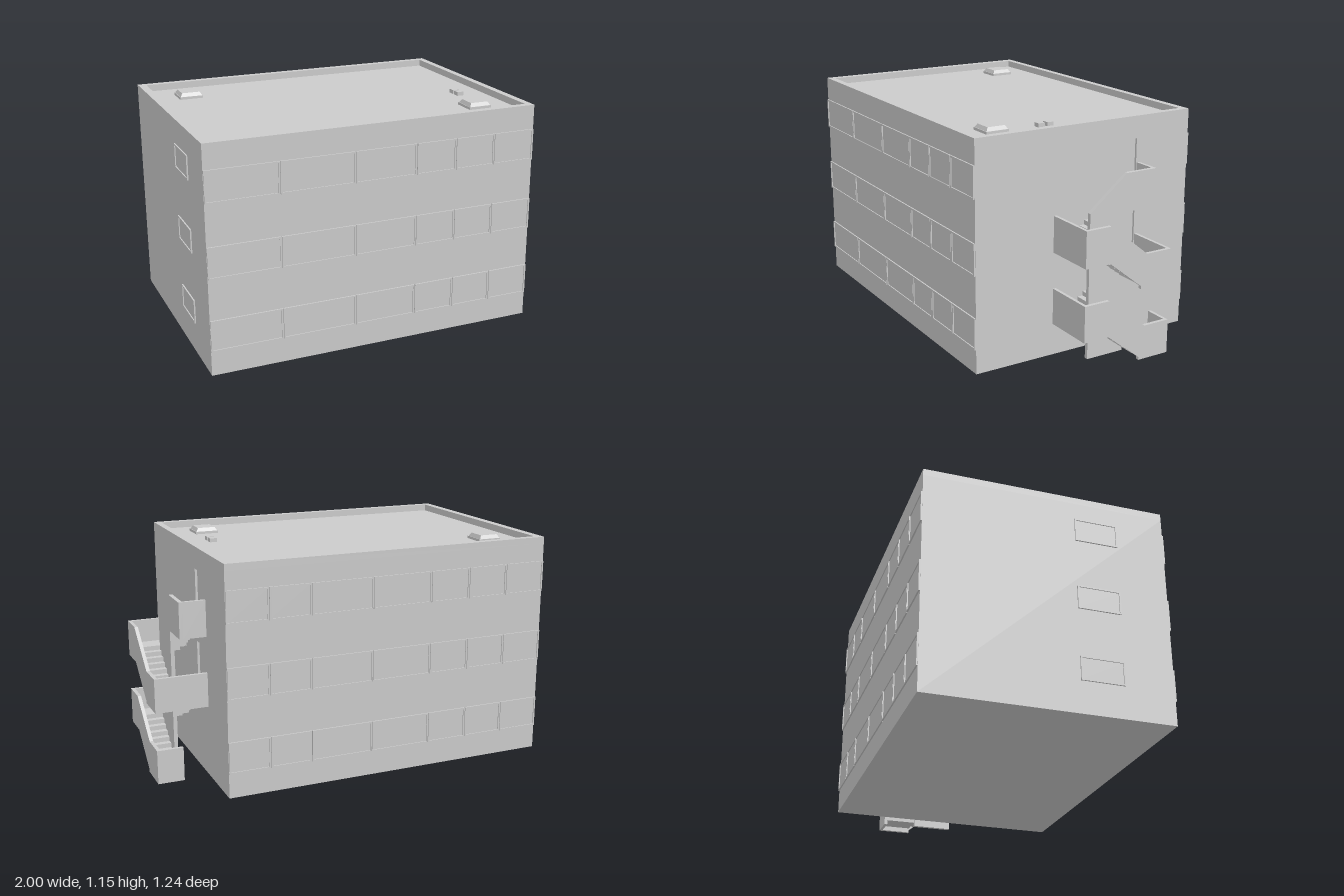
import * as THREE from 'three';

const material = new THREE.MeshStandardMaterial({ color: 0xcccccc, flatShading: true });

// Box given by its min and max corners
function box(parent, name, x0, x1, y0, y1, z0, z1) {
  const m = new THREE.Mesh(new THREE.BoxGeometry(x1 - x0, y1 - y0, z1 - z0), material);
  m.position.set((x0 + x1) / 2, (y0 + y1) / 2, (z0 + z1) / 2);
  m.name = name;
  parent.add(m);
  return m;
}

const toPoints = (pts) => pts.map(([a, b]) => new THREE.Vector2(a, b));
const rect = (a0, a1, b0, b1) => [[a0, b0], [a1, b0], [a1, b1], [a0, b1]];

function extrude(points, holes, depth) {
  const shape = new THREE.Shape(toPoints(points));
  holes.forEach((h) => shape.holes.push(new THREE.Path(toPoints(h))));
  return new THREE.ExtrudeGeometry(shape, { depth, bevelEnabled: false });
}

// Upright slab from a (z, y) outline, spanning x0..x1
function sideSlab(parent, name, x0, x1, points, holes = []) {
  const g = extrude(points, holes, x1 - x0);
  g.rotateY(-Math.PI / 2);
  g.translate(x1, 0, 0);
  const m = new THREE.Mesh(g, material);
  m.name = name;
  parent.add(m);
}

// Thin framed window centred on its own origin, facing +z
function makeWindow(name, w, h) {
  const g = new THREE.Group();
  g.name = name;
  const f = 0.008;
  const outer = rect(-w / 2, w / 2, -h / 2, h / 2);
  const inner = rect(-w / 2 + f, w / 2 - f, -h / 2 + f, h / 2 - f);
  const frame = new THREE.Mesh(extrude(outer, [inner], 0.007), material);
  frame.name = 'windowFrame';
  g.add(frame);
  box(g, 'windowPane', -w / 2 + f, w / 2 - f, -h / 2 + f, h / 2 - f, -0.002, 0.002);
  return g;
}

const STOREY = 0.37;

function buildBlock() {
  const g = new THREE.Group();
  g.name = 'building';
  const L = -0.995, R = 0.73, Z = 0.615, ROOF = 1.115, TOP = 1.15;
  box(g, 'mainBlock', L, R - 0.03, 0, ROOF, -Z, Z);

  // Side wall with recessed doorways
  const doors = [1, 2].map((i) => rect(-0.295, -0.15, i * STOREY + 0.045, i * STOREY + 0.297));
  sideSlab(g, 'doorWall', R - 0.03, R, rect(-Z, Z, 0, ROOF), doors);
  doors.forEach((d) => box(g, 'door', R - 0.035, R - 0.012, d[0][1], d[2][1], -0.295, -0.15));

  // Parapet round the flat roof
  const p = extrude(rect(L, R, -Z, Z), [rect(L + 0.04, R - 0.035, -Z + 0.035, Z - 0.035)], TOP - ROOF);
  p.rotateX(-Math.PI / 2);
  p.translate(0, ROOF, 0);
  const parapet = new THREE.Mesh(p, material);
  parapet.name = 'parapet';
  g.add(parapet);

  // Skylights and vents
  for (const [x, z] of [[-0.775, -0.39], [0.51, 0.4]]) {
    box(g, 'skylightCurb', x - 0.061, x + 0.061, ROOF, ROOF + 0.013, z - 0.061, z + 0.061);
    const c = new THREE.CylinderGeometry(0.047 * Math.SQRT2, 0.058 * Math.SQRT2, 0.018, 4);
    c.rotateY(Math.PI / 4);
    const cap = new THREE.Mesh(c, material);
    cap.position.set(x, ROOF + 0.022, z);
    cap.name = 'skylight';
    g.add(cap);
  }
  for (const z of [0.107, 0.157]) box(g, 'roofVent', 0.535, 0.572, ROOF, ROOF + 0.02, z - 0.018, z + 0.018);

  // Window bands on front and back, small windows on the left end
  const frontX = [L, -0.63, -0.25, 0.075, 0.29, 0.505, R];
  const backX = [L, -0.775, -0.56, -0.345, -0.025, 0.3, 0.515, R];
  for (let s = 0; s < 3; s++) {
    const y = s * STOREY + 0.205;
    for (const [edges, side] of [[frontX, 1], [backX, -1]]) {
      for (let i = 0; i + 1 < edges.length; i++) {
        const w = makeWindow('bandWindow', edges[i + 1] - edges[i] - 0.003, 0.16);
        w.position.set((edges[i] + edges[i + 1]) / 2, y, side * Z);
        if (side < 0) w.rotation.y = Math.PI;
        g.add(w);
      }
    }
    const e = makeWindow('endWindow', 0.22, 0.122);
    e.position.set(L, s * STOREY + 0.225, 0.255);
    e.rotation.y = -Math.PI / 2;
    g.add(e);
  }
  return g;
}

function buildStairs() {
  const g = new THREE.Group();
  g.name = 'outsideStairs';
  const X0 = 0.73, XA = 0.845, XB = 0.865, XC = 0.982, X1 = 1;
  const ZB = -0.315, ZS = -0.14, ZE = 0.07, ZF = 0.185;
  const T = 0.016, FLOOR = 0.045, SLAB = 0.02, RISERS = 8;
  const rise = STOREY / 2 / RISERS, run = (ZE - ZS) / (RISERS - 1);

  // Flight of steps with a stepped underside
  const flight = (x0, x1, y, zStart, dir) => {
    for (let i = 0; i < RISERS - 1; i++) {
      const top = y + (i + 1) * rise;
      const a = zStart + dir * i * run, b = a + dir * run;
      box(g, 'step', x0, x1, top - rise - 0.008, top, Math.min(a, b), Math.max(a, b));
    }
  };

  // Centre wall rising through both storeys and guarding the top landing
  sideSlab(g, 'centreWall', XA, XB, [[ZS, 0], [ZE, 0], [ZE, 0.745], [ZS, 0.915],
    [ZB, 0.915], [ZB, 0.73], [ZS, 0.73]]);

  for (let s = 0; s < 2; s++) {
    const y = s * STOREY, mid = y + STOREY / 2;
    // Outer balustrade following the lower landing, flight and half landing
    sideSlab(g, 'outerBalustrade', XC, X1, [[ZB, y], [ZS, y], [ZS, y + 0.015], [0.045, y + 0.163],
      [ZF, y + 0.163], [ZF, y + 0.348], [0.045, y + 0.348], [-0.17, y + 0.175], [ZB, y + 0.175]]);
    flight(XB, XC, y + FLOOR, ZS, 1);
    flight(X0, XA, mid + FLOOR, ZE, -1);
    // Half landing with front guard
    box(g, 'halfLanding', X0, XC, mid + FLOOR - SLAB, mid + FLOOR, ZE, ZF - T);
    box(g, 'halfLandingGuard', X0, XC, y + 0.163, y + 0.348, ZF - T, ZF);
    // Floor landing with back guard
    const x = s === 0 ? XB : X0;
    box(g, 'landing', x, XC, y + FLOOR - SLAB, y + FLOOR, ZB + T, ZS);
    box(g, 'landingGuard', x, XC, y, y + 0.175, ZB, ZB + T);
  }

  // Top landing
  box(g, 'topLanding', X0, XA, 2 * STOREY + FLOOR - SLAB, 2 * STOREY + FLOOR, ZB + T, ZS);
  box(g, 'topLandingGuard', X0, XA, 0.73, 0.915, ZB, ZB + T);
  return g;
}

export function createModel() {
  const model = new THREE.Group();
  model.name = 'officeBlock';
  model.add(buildBlock(), buildStairs());
  return model;
}
